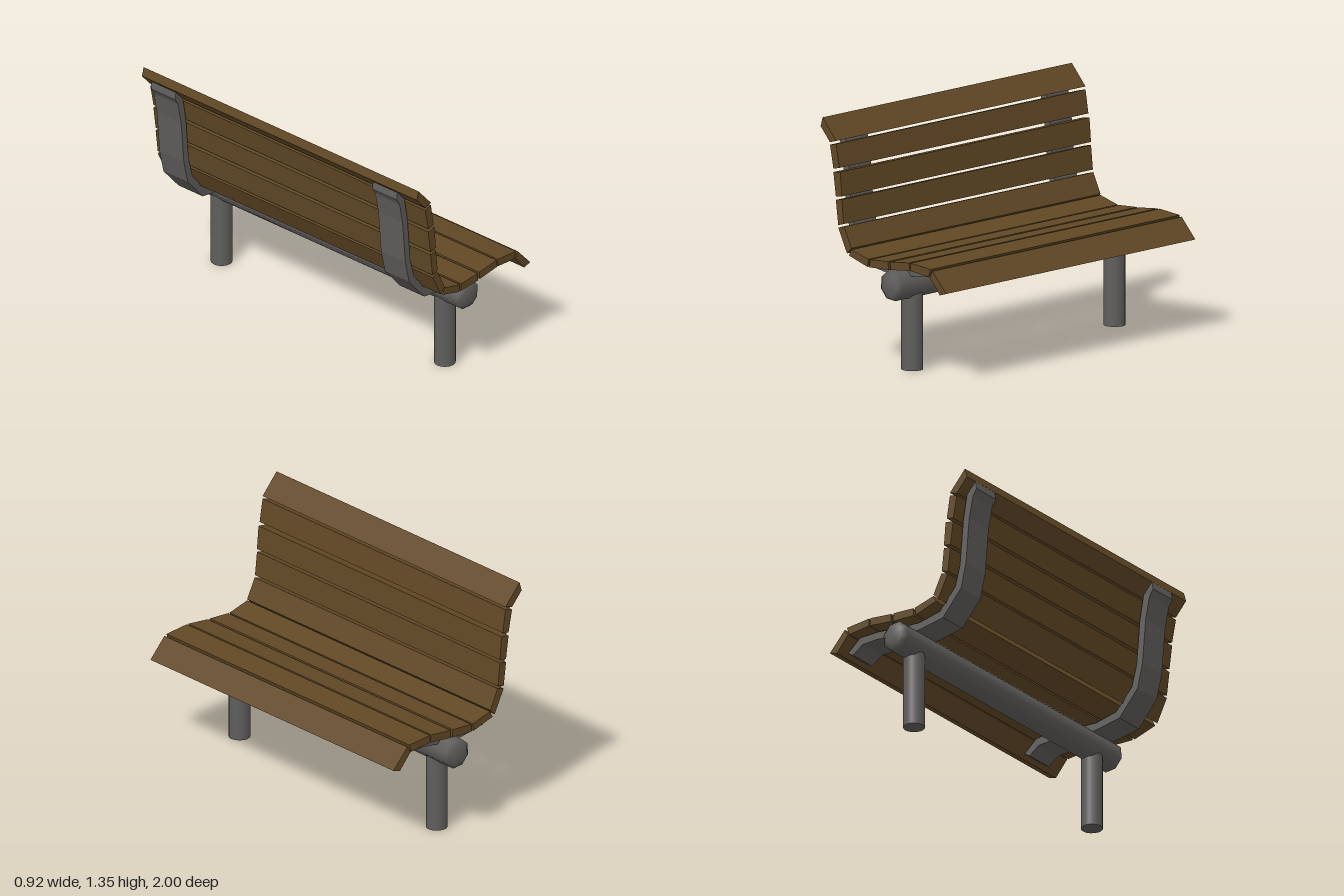
import * as THREE from 'three';

const wood = new THREE.MeshStandardMaterial({ color: 0x614825 });
wood.name = 'brown wood';
const metal = new THREE.MeshStandardMaterial({ color: 0x605e5c });
metal.name = 'grey metal';

// Side outlines of the slats, from the top of the back to the front of the seat
const slats = [
  [[-.44, 1.345], [-.34, 1.23], [-.386, 1.217], [-.454, 1.295]],
  [[-.34, 1.214], [-.319, 1.085], [-.361, 1.075], [-.386, 1.203]],
  [[-.311, 1.064], [-.3, .932], [-.343, .925], [-.361, 1.057]],
  [[-.3, .915], [-.286, .783], [-.326, .772], [-.343, .907]],
  [[-.283, .769], [-.23, .658], [-.262, .626], [-.326, .758]],
  [[-.23, .651], [-.105, .616], [-.112, .573], [-.247, .616]],
  [[-.094, .616], [.037, .623], [.041, .577], [-.098, .573]],
  [[.052, .623], [.19, .637], [.197, .594], [.055, .58]],
  [[.201, .637], [.347, .623], [.333, .58], [.201, .594]],
  [[.361, .616], [.461, .505], [.415, .491], [.34, .58]],
];

// Side outline of the bent support strap
const strap = [
  [-.464, 1.249], [-.44, 1.21], [-.415, 1.085], [-.393, .829], [-.361, .69], [-.24, .548],
  [-.084, .52], [.016, .52], [.201, .541], [.297, .537], [.361, .491],
  [.393, .512], [.315, .58], [.201, .584], [.016, .566], [-.084, .562], [-.219, .591],
  [-.322, .708], [-.354, .829], [-.375, 1.078], [-.4, 1.228], [-.457, 1.292],
];

// Extrudes a side outline between two z positions
function extrude(points, z0, z1, material, name) {
  const shape = new THREE.Shape(points.map(([x, y]) => new THREE.Vector2(x, y)));
  const geometry = new THREE.ExtrudeGeometry(shape, { depth: z1 - z0, bevelEnabled: false });
  const mesh = new THREE.Mesh(geometry, material);
  mesh.position.z = z0;
  mesh.name = name;
  return mesh;
}

export function createModel() {
  const bench = new THREE.Group();
  bench.name = 'bench';

  // Wooden slats
  slats.forEach((points, i) =>
    bench.add(extrude(points, -.967, 1, wood, i < 5 ? 'backSlat' : 'seatSlat')));

  // Straps and legs near each end
  for (const [strapZ, legZ] of [[.777, .785], [-.808, -.812]]) {
    bench.add(extrude(strap, strapZ - .087, strapZ + .087, metal, 'supportStrap'));
    const leg = new THREE.Mesh(new THREE.CylinderGeometry(.059, .059, .46, 16), metal);
    leg.position.set(.015, .23, legZ);
    leg.name = 'leg';
    bench.add(leg);
  }

  // Octagonal beam with chamfered ends
  const profile = [[0, -.985], [.056, -.985], [.085, -.96], [.085, .96], [.056, .985], [0, .985]]
    .map(([r, y]) => new THREE.Vector2(r, y));
  const beam = new THREE.Mesh(new THREE.LatheGeometry(profile, 8, .3), metal);
  beam.rotation.x = Math.PI / 2;
  beam.position.set(.016, .48, -.015);
  beam.name = 'beam';
  bench.add(beam);

  return bench;
}
